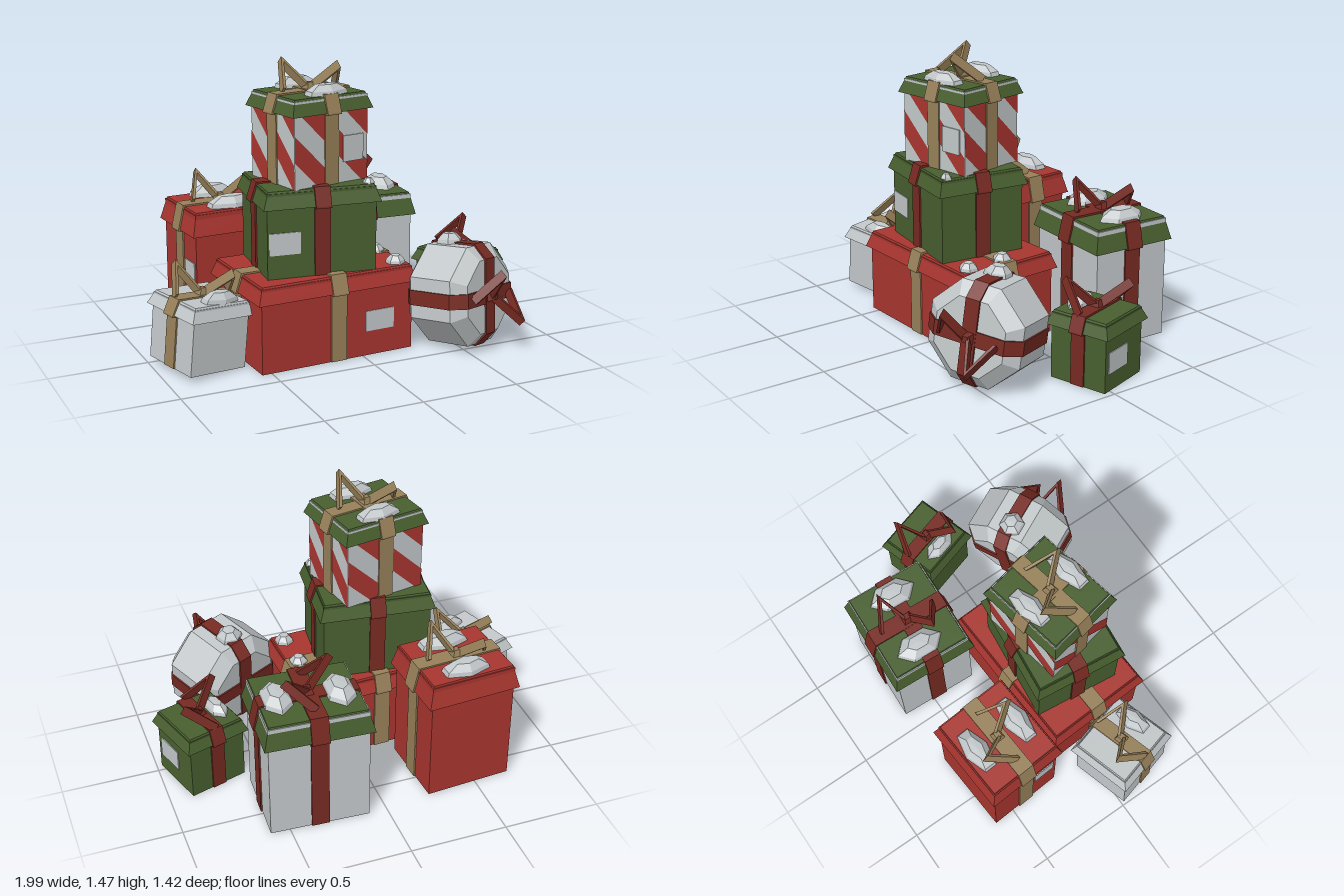
import * as THREE from 'three';

const mat = (name, color) => {
  const m = new THREE.MeshStandardMaterial({ color });
  m.name = name;
  return m;
};

export function createModel() {
  const red = mat('red paper', 0xa8352f), green = mat('green paper', 0x485f2f);
  const white = mat('silver white paper', 0xc2c7c9), tan = mat('tan ribbon', 0x978059);
  const darkRed = mat('dark red ribbon', 0x762a22);
  const model = new THREE.Group();
  model.name = 'giftPile';

  // Faceted mesh helper
  function add(parent, name, geo, material, x = 0, y = 0, z = 0) {
    const g = geo.index ? geo.toNonIndexed() : geo;
    g.computeVertexNormals();
    const m = new THREE.Mesh(g, material);
    m.name = name;
    m.position.set(x, y, z);
    parent.add(m);
    return m;
  }

  // Box whose top is narrower than its bottom
  function taperedBox(w, h, d, inset) {
    const g = new THREE.BoxGeometry(w, h, d), p = g.attributes.position;
    for (let i = 0; i < p.count; i++) {
      if (p.getY(i) > 0) {
        p.setX(i, p.getX(i) - Math.sign(p.getX(i)) * inset);
        p.setZ(i, p.getZ(i) - Math.sign(p.getZ(i)) * inset);
      }
    }
    return g;
  }

  // Closed band that follows a half profile [[x, y], ...] mirrored about x = 0
  function ribbon(parent, half, width, material, alongZ) {
    const pts = [...half, ...half.slice().reverse().map(([x, y]) => [-x, y])];
    const shape = new THREE.Shape(pts.map(([x, y]) => new THREE.Vector2(x, y)));
    const g = new THREE.ExtrudeGeometry(shape, { depth: width, bevelEnabled: false });
    g.translate(0, 0, -width / 2);
    if (alongZ) g.rotateY(Math.PI / 2);
    add(parent, 'ribbon', g, material);
  }

  // Bow: two leaning peaked loops and a knot
  function bow(parent, y, material, turn) {
    const group = new THREE.Group();
    group.name = 'bow';
    group.position.y = y;
    group.rotation.y = turn;
    const pts = [[0, 0], [0.08, 0.19], [0.16, 0], [0.143, 0], [0.08, 0.158], [0.017, 0]];
    const basis = new THREE.Matrix4().makeBasis(
      new THREE.Vector3(0, 0, -1), new THREE.Vector3(0.73, 0.683, 0), new THREE.Vector3(0.683, -0.73, 0));
    for (const a of [0, Math.PI]) {
      const g = new THREE.ExtrudeGeometry(
        new THREE.Shape(pts.map(([u, v]) => new THREE.Vector2(u, v))), { depth: 0.045, bevelEnabled: false });
      g.translate(0, 0, -0.0225);
      g.applyMatrix4(basis);
      g.rotateY(a);
      add(group, 'bowLoop', g, material, 0, 0.01, 0);
    }
    add(group, 'bowKnot', taperedBox(0.06, 0.04, 0.06, 0.015), material, 0, 0.02, 0);
    parent.add(group);
  }

  // Faceted rosette
  function rosette(parent, x, y, z, w, d, h, turn = 0) {
    const g = new THREE.LatheGeometry(
      [[1, 0], [0.93, 0.4], [0.5, 1], [0, 1.05]].map(([r, v]) => new THREE.Vector2(r, v)), 6);
    g.scale(w / 2, h, d / 2);
    const m = add(parent, 'rosette', g, white, x, y, z);
    m.rotation.y = turn;
    return m;
  }

  // Wrapped box with flared lid and ribbons
  function gift(name, o) {
    const group = new THREE.Group();
    group.name = name;
    group.position.set(...o.at);
    group.rotation.order = 'ZYX';
    group.rotation.set(0, o.turn, o.tilt || 0);
    const { w, d, h, drop } = o, over = 0.022, e = 0.008, rw = o.band || 0.085;
    add(group, 'box', new THREE.BoxGeometry(w, h - 0.01, d), o.body, 0, (h - 0.01) / 2, 0);
    add(group, 'lid', taperedBox(w + 2 * over, drop, d + 2 * over, 0.03), o.lid, 0, h - drop / 2, 0);
    for (const axis of o.ribbons) {
      const r = (axis === 'x' ? w : d) / 2, t = axis === 'x' ? e : e + 0.002;
      ribbon(group, [[r + e, 0.001], [r + e, h - drop - e], [r + over + e, h - drop - e],
        [r + over + e, h - drop], [r + over - 0.03 + e, h + t]], rw, o.ribbon, axis === 'z');
    }
    model.add(group);
    return group;
  }

  const label = (g, x, y, z, w, h, turn = 0) => {
    add(g, 'label', new THREE.BoxGeometry(w, h, 0.006), white, x, y, z).rotation.y = turn;
  };
  const Q = -Math.PI / 2;

  // Long red gift at the bottom
  const long = gift('longGift', { at: [-0.15, 0, 0.1], turn: 0.05, w: 0.83, d: 0.55, h: 0.44, drop: 0.085,
    body: red, lid: red, ribbon: tan, ribbons: ['x', 'z'] });
  label(long, 0.23, 0.18, 0.276, 0.16, 0.105);
  for (const z of [0, 0.21]) rosette(long, 0.355, 0.44, z, 0.1, 0.1, 0.04);

  // Green gift in the middle of the stack
  const middle = gift('middleGift', { at: [-0.175, 0.44, 0.097], turn: -0.11, w: 0.555, d: 0.455, h: 0.435,
    drop: 0.085, body: green, lid: green, ribbon: darkRed, ribbons: ['x', 'z'], band: 0.08 });
  label(middle, -0.19, 0.175, 0.229, 0.16, 0.11);
  rosette(middle, 0.25, 0.43, 0.19, 0.06, 0.06, 0.03);

  // Striped gift on top of the stack
  const top = gift('stripedGift', { at: [-0.16, 0.872, 0.08], turn: 0.19, w: 0.43, d: 0.375, h: 0.438, drop: 0.08,
    body: white, lid: green, ribbon: tan, ribbons: ['x', 'z'], band: 0.08 });
  bow(top, 0.44, tan, Q);
  rosette(top, 0.01, 0.438, -0.13, 0.25, 0.12, 0.05);
  rosette(top, 0.01, 0.438, 0.13, 0.25, 0.12, 0.05);
  label(top, 0.125, 0.17, 0.194, 0.12, 0.13);

  // Keep the part of a polygon where s * (x + y) >= s * c
  function clip(poly, c, s) {
    const out = [];
    poly.forEach((a, i) => {
      const b = poly[(i + 1) % poly.length];
      const da = s * (a.x + a.y - c), db = s * (b.x + b.y - c);
      if (da >= 0) out.push(a);
      if (da * db < 0) out.push(a.clone().lerp(b, da / (da - db)));
    });
    return out;
  }

  // Diagonal red stripes on the four sides
  for (let side = 0; side < 4; side++) {
    const [half, out] = side % 2 ? [0.1875, 0.215] : [0.215, 0.1875];
    const rect = [[-half, 0], [half, 0], [half, 0.36], [-half, 0.36]].map(([x, y]) => new THREE.Vector2(x, y));
    for (let k = -2; k < 3; k++) {
      const c = 0.18 + 0.26 * k, poly = clip(clip(rect, c, 1), c + 0.13, -1);
      if (poly.length < 3) continue;
      const g = new THREE.ShapeGeometry(new THREE.Shape(poly));
      g.translate(0, 0, out + 0.003);
      g.rotateY(side * Math.PI / 2);
      add(top, 'stripe', g, red);
    }
  }

  // Red gift behind on the right
  const back = gift('backRedGift', { at: [-0.45, 0, -0.43], turn: 0.07, w: 0.45, d: 0.4, h: 0.665, drop: 0.12,
    body: red, lid: red, ribbon: tan, ribbons: ['x'], band: 0.09 });
  bow(back, 0.665, tan, Q);
  rosette(back, 0.01, 0.665, -0.125, 0.27, 0.13, 0.055);
  rosette(back, 0.01, 0.665, 0.125, 0.29, 0.13, 0.055);
  label(back, -0.227, 0.34, 0.12, 0.12, 0.11, Q);

  // Tall white gift with green lid behind on the left
  const tall = gift('tallGift', { at: [0.335, 0, -0.453], turn: -0.05, w: 0.505, d: 0.425, h: 0.64, drop: 0.12,
    body: white, lid: green, ribbon: darkRed, ribbons: ['x', 'z'], band: 0.09 });
  bow(tall, 0.645, darkRed, 0);
  rosette(tall, -0.155, 0.64, -0.02, 0.16, 0.26, 0.055);
  rosette(tall, 0.155, 0.64, 0, 0.16, 0.26, 0.055);

  // Small white leaning gift
  const lean = gift('leaningGift', { at: [-0.79, 0.02, 0.135], turn: 0.27, tilt: -0.09, w: 0.32, d: 0.35, h: 0.34,
    drop: 0.07, body: white, lid: white, ribbon: tan, ribbons: ['x'], band: 0.08 });
  bow(lean, 0.34, tan, Q);
  rosette(lean, 0.02, 0.34, 0.12, 0.21, 0.11, 0.05);

  // Small green gift
  const small = gift('smallGreenGift', { at: [0.78, 0, -0.063], turn: 0.3, w: 0.31, d: 0.31, h: 0.35, drop: 0.07,
    body: green, lid: green, ribbon: darkRed, ribbons: ['z'], band: 0.075 });
  bow(small, 0.35, darkRed, 0);
  rosette(small, -0.095, 0.35, 0, 0.1, 0.2, 0.045);
  label(small, 0.157, 0.145, 0.05, 0.16, 0.11, -Q);

  // Eight-sided gift lying on its side
  const lying = new THREE.Group();
  lying.name = 'octagonGift';
  lying.position.set(0.53, 0.272, 0.395);
  lying.rotation.order = 'YXZ';
  lying.rotation.set(Math.PI / 2 - 0.1, 0.44, 0);
  const roll = new THREE.Group();
  roll.name = 'octagonGiftBody';
  roll.rotation.y = -0.08;
  lying.add(roll);
  model.add(lying);
  const D = 0.18, A = 0.25, inner = 0.185;
  const k = 1 / Math.cos(Math.PI / 8);
  const octagon = new THREE.LatheGeometry(
    [[0, -D], [inner * k, -D], [A * k, -D + 0.06], [A * k, D - 0.06], [inner * k, D], [0, D]]
      .map(([x, y]) => new THREE.Vector2(x, y)), 8, Math.PI / 8);
  add(roll, 'octagonBox', octagon, white);
  for (const alongZ of [false, true]) {
    const e = alongZ ? 0.01 : 0.008;
    ribbon(roll, [[inner + e * 0.5, -D - e], [A + e, -D + 0.06], [A + e, D - 0.06], [inner + e * 0.5, D + e]],
      0.075, darkRed, alongZ);
  }
  bow(roll, D + 0.005, darkRed, Q);
  rosette(roll, -0.01, -0.05, -A, 0.14, 0.14, 0.05).rotation.x = Q;

  return model;
}
